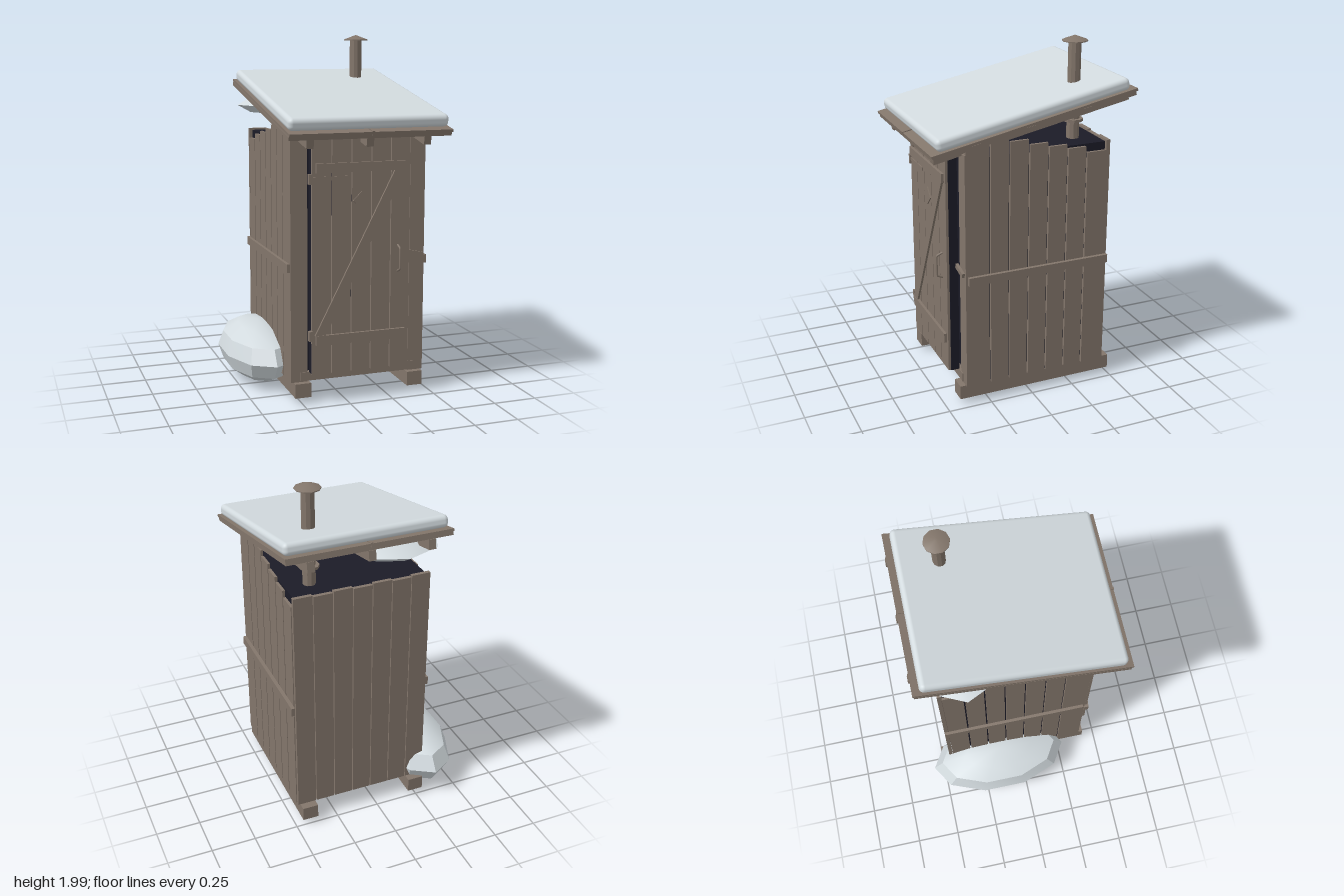
import * as THREE from 'three';
import { toCreasedNormals } from 'three/addons/utils/BufferGeometryUtils.js';
import { RoundedBoxGeometry } from 'three/addons/geometries/RoundedBoxGeometry.js';

const mat = (name, color) => {
  const m = new THREE.MeshStandardMaterial({ color });
  m.name = name;
  return m;
};

export function createModel() {
  const wood = mat('weathered wood', 0x83766b);
  const dark = mat('dark interior', 0x1b1b27);
  const snow = mat('snow', 0xd2dade);
  const model = new THREE.Group();
  model.name = 'outhouse';

  const add = (name, geometry, material, parent = model) => {
    const m = new THREE.Mesh(geometry, material);
    m.name = name;
    parent.add(m);
    return m;
  };
  // Box given by its limits on each axis
  const box = (name, x0, x1, y0, y1, z0, z1, material = wood, parent = model) => {
    const m = add(name, new THREE.BoxGeometry(x1 - x0, y1 - y0, z1 - z0), material, parent);
    m.position.set((x0 + x1) / 2, (y0 + y1) / 2, (z0 + z1) / 2);
    return m;
  };

  // Skids and threshold
  for (const x of [-0.29, 0.37]) box('skid', x, x + 0.09, 0.045, 0.125, -0.5, 0.42);
  box('threshold', -0.25, 0.42, 0.13, 0.18, 0.36, 0.392);

  // Dark inner shell
  box('interior', -0.288, 0.458, 0.127, 1.44, -0.43, 0.365, dark);

  // Side planks with stepped tops, front to back
  const edges = [0.385, 0.245, 0.135, 0.022, -0.09, -0.202, -0.315, -0.437];
  const tops = [1.51, 1.54, 1.51, 1.48, 1.455, 1.43, 1.395];
  for (const x of [-0.305, 0.46]) {
    tops.forEach((top, i) =>
      box('sidePlank', x, x + 0.015, 0.125, top, edges[i + 1] + 0.006, edges[i] - 0.003));
  }
  box('sideRailLeft', 0.475, 0.495, 0.74, 0.787, -0.452, 0.375);
  box('sideRailRight', -0.322, -0.305, 0.74, 0.787, -0.452, 0.375);

  // Back planks
  for (let i = 0; i < 7; i++) {
    const x = -0.305 + i * 0.1115;
    box('backPlank', x, x + 0.107, 0.125, 1.45 - 0.008 * (i % 2), -0.455, -0.433);
  }

  // Front posts
  box('frontPost', -0.305, -0.21, 0.125, 1.465, 0.365, 0.387);
  box('frontPost', 0.387, 0.475, 0.125, 1.465, 0.365, 0.387);

  // Door
  const door = new THREE.Group();
  door.name = 'door';
  model.add(door);
  box('doorBacking', -0.203, 0.362, 0.18, 1.45, 0.387, 0.436, dark, door);
  for (let i = 0; i < 5; i++) {
    const x = -0.205 + i * 0.1135;
    box('doorPlank', x, x + 0.108, 0.18, 1.46, 0.436, 0.45, wood, door);
  }
  box('upperBrace', -0.185, 0.335, 1.285, 1.335, 0.45, 0.465, wood, door);
  box('lowerBrace', -0.185, 0.335, 0.345, 0.4, 0.45, 0.465, wood, door);
  const brace = new THREE.Shape([[-0.19, 0.4], [-0.13, 0.4], [0.325, 1.285], [0.265, 1.285]]
    .map(p => new THREE.Vector2(...p)));
  add('diagonalBrace', new THREE.ExtrudeGeometry(brace, { depth: 0.012, bevelEnabled: false }), wood, door)
    .position.z = 0.45;
  const diamond = box('diamondPlate', -0.036, 0.036, -0.036, 0.036, 0.45, 0.456, wood, door);
  diamond.position.set(0.077, 1.128, 0.453);
  diamond.rotation.z = Math.PI / 4;

  // Hinges, handle and latch
  box('hingeStrap', -0.2, 0.0, 1.243, 1.264, 0.45, 0.454, wood, door);
  for (const y of [1.225, 0.37]) box('hinge', -0.222, -0.2, y, y + 0.055, 0.43, 0.458, wood, door);
  const grip = [[0.45, 0.725], [0.484, 0.74], [0.484, 0.855], [0.45, 0.87]]
    .map(([z, y]) => new THREE.Vector3(0.29, y, z));
  const path = new THREE.CurvePath();
  for (let i = 0; i < 3; i++) path.add(new THREE.LineCurve3(grip[i], grip[i + 1]));
  add('handle', new THREE.TubeGeometry(path, 18, 0.006, 6), wood, door);
  const latch = box('latch', -0.05, 0.05, -0.013, 0.013, -0.008, 0.008);
  latch.position.set(0.413, 0.805, 0.396);
  latch.rotation.z = -0.22;

  // Sloping roof, built level and tilted; local y = 0 is the underside of the boards
  const roof = new THREE.Group();
  roof.name = 'roof';
  roof.position.set(0.0875, 1.588, 0);
  roof.rotation.x = 0.2;
  model.add(roof);
  box('roofBoards', -0.4575, 0.4525, 0, 0.02, -0.575, 0.585, wood, roof);
  for (const x of [-0.457, 0.005]) box('roofSheet', x, x + 0.452, 0.022, 0.036, -0.585, 0.592, wood, roof);
  box('roofSeam', -0.007, 0.007, 0.018, 0.041, -0.587, 0.594, wood, roof);
  for (const x of [-0.332, 0, 0.328]) box('rafter', x - 0.02, x + 0.02, -0.054, 0, -0.58, 0.56, wood, roof);
  add('roofSnow', new RoundedBoxGeometry(0.9, 0.068, 1.105, 3, 0.026), snow, roof)
    .position.set(0, 0.07, 0);

  // Vent pipe
  const pipe = (name, r0, r1, y0, y1) => {
    const g = new THREE.CylinderGeometry(r1, r0, y1 - y0, 10);
    add(name, toCreasedNormals(g, 0.5), wood).position.set(0.323, (y0 + y1) / 2, -0.302);
  };
  pipe('ventPipe', 0.035, 0.035, 1.43, 1.98);
  pipe('pipeCollar', 0.055, 0.055, 1.535, 1.55);
  pipe('ventCapRim', 0.07, 0.07, 1.97, 1.975);
  pipe('ventCap', 0.07, 0.004, 1.975, 2.0);

  // Snow mounds: squashed low spheres
  const mound = (name, sides, rows, size, pos) => {
    const g = new THREE.SphereGeometry(1, sides, rows).rotateY(Math.PI / 2).scale(...size);
    add(name, toCreasedNormals(g, 0.55), snow).position.set(...pos);
  };
  mound('groundSnow', 10, 6, [0.22, 0.17, 0.414], [-0.346, 0.18, -0.148]);
  mound('eaveSnow', 8, 4, [0.27, 0.062, 0.24], [-0.14, 1.6, -0.302]);

  return model;
}
